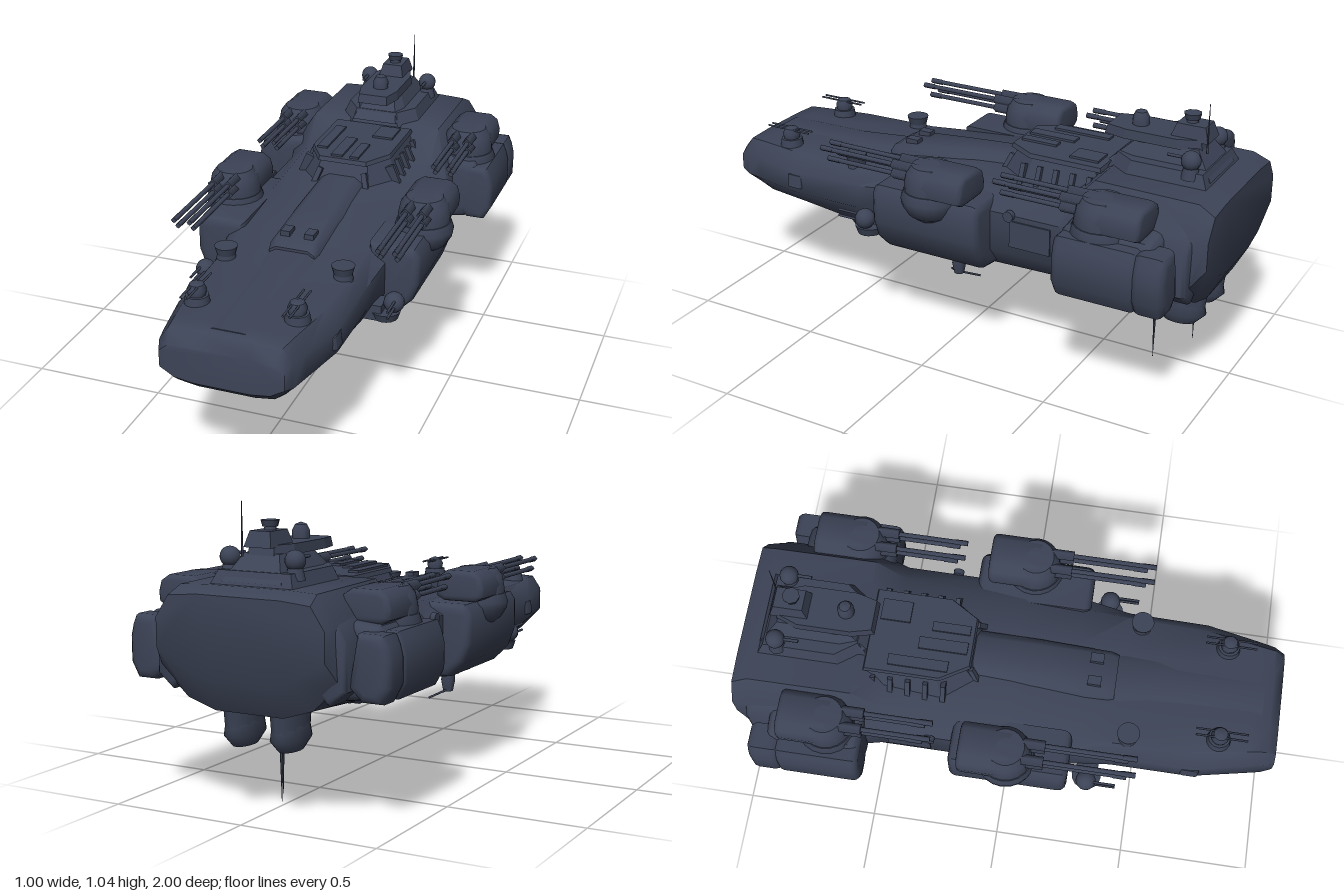
import * as THREE from 'three';
import { toCreasedNormals } from 'three/addons/utils/BufferGeometryUtils.js';

const hullGrey = new THREE.MeshStandardMaterial({ color: 0x3c4356 });
hullGrey.name = 'slate hull';

// Mirrored half profiles (top to bottom), ordered from bow to stern
function loft(sections) {
  const pos = [], idx = [], n = sections[0].pts.length * 2;
  for (const { z, pts } of sections) {
    for (const [x, y] of pts) pos.push(x, y, z);
    for (const [x, y] of [...pts].reverse()) pos.push(-x, y, z);
  }
  const last = (sections.length - 1) * n;
  for (let s = 0; s < last; s += n) {
    for (let j = 0; j < n; j++) {
      const a = s + j, b = s + (j + 1) % n;
      idx.push(a, b, a + n, b, b + n, a + n);
    }
  }
  for (let j = 1; j < n - 1; j++) {
    idx.push(0, j + 1, j);
    idx.push(last, last + j, last + j + 1);
  }
  const g = new THREE.BufferGeometry();
  g.setAttribute('position', new THREE.Float32BufferAttribute(pos, 3));
  g.setIndex(idx);
  return toCreasedNormals(g, 0.85);
}

// Bevelled bar running along z
function prism(pts, z0, z1, b) {
  const g = new THREE.ExtrudeGeometry(new THREE.Shape(pts.map(p => new THREE.Vector2(...p))), {
    depth: z1 - z0 - 2 * b, bevelSize: b, bevelThickness: b, bevelOffset: -b, bevelSegments: 3,
  });
  return toCreasedNormals(g.translate(0, 0, z0 + b), 0.85);
}

// Upright block from a plan outline of [x, z], narrowed towards the top
function tower(pts, y0, y1, taper, cz) {
  const g = new THREE.ExtrudeGeometry(new THREE.Shape(pts.map(([x, z]) => new THREE.Vector2(x, cz - z))),
    { depth: y1 - y0, bevelEnabled: false });
  g.rotateX(-Math.PI / 2);
  const p = g.attributes.position;
  for (let i = 0; i < p.count; i++) {
    const k = 1 + (taper - 1) * p.getY(i) / (y1 - y0);
    p.setX(i, p.getX(i) * k);
    p.setZ(i, p.getZ(i) * k);
  }
  g.translate(0, y0, cz);
  g.computeVertexNormals();
  return g;
}

const box = (w, h, d) => new THREE.BoxGeometry(w, h, d);
const cyl = (top, bottom, h, n = 16) => new THREE.CylinderGeometry(top, bottom, h, n);
const rod = (r, len, n = 8) => cyl(r, r, len, n).rotateX(Math.PI / 2);
const lathe = pts => toCreasedNormals(new THREE.LatheGeometry(pts.map(p => new THREE.Vector2(...p)), 20), 0.7);

export function createModel() {
  const ship = new THREE.Group();
  ship.name = 'warship';
  function add(name, geo, x = 0, y = 0, z = 0, parent = ship) {
    const m = new THREE.Mesh(geo, hullGrey);
    m.name = name;
    m.position.set(x, y, z);
    parent.add(m);
    return m;
  }

  // Main hull
  add('hull', loft([
    { z: 1, pts: [[.1, .56], [.19, .555], [.22, .53], [.22, .47], [.17, .44], [.1, .43]] },
    { z: .96, pts: [[.1, .605], [.2, .6], [.235, .55], [.235, .46], [.17, .405], [.1, .395]] },
    { z: .89, pts: [[.1, .608], [.21, .602], [.25, .55], [.25, .46], [.18, .385], [.1, .365]] },
    { z: .7, pts: [[.1, .61], [.24, .602], [.29, .54], [.29, .46], [.21, .385], [.1, .36]] },
    { z: .4, pts: [[.1, .61], [.25, .602], [.29, .55], [.29, .46], [.24, .37], [.12, .355]] },
    { z: .22, pts: [[.1, .635], [.25, .62], [.31, .58], [.31, .45], [.25, .36], [.13, .33]] },
    { z: 0, pts: [[.1, .665], [.25, .64], [.33, .6], [.33, .45], [.26, .36], [.14, .32]] },
    { z: -.46, pts: [[.13, .7], [.26, .66], [.33, .6], [.33, .45], [.26, .37], [.15, .33]] },
    { z: -.56, pts: [[.16, .77], [.26, .77], [.35, .63], [.36, .47], [.28, .38], [.17, .34]] },
    { z: -.94, pts: [[.16, .77], [.26, .765], [.33, .67], [.34, .48], [.24, .39], [.13, .355]] },
    { z: -1, pts: [[.16, .745], [.27, .735], [.32, .66], [.32, .56], [.2, .49], [.1, .465]] },
  ]));

  // Raised spine over the foredeck
  add('spine', loft([
    { z: .38, pts: [[.06, .64], [.085, .625], [.09, .58]] },
    { z: .35, pts: [[.07, .655], [.09, .64], [.1, .58]] },
    { z: .1, pts: [[.06, .68], [.09, .66], [.12, .6]] },
    { z: -.2, pts: [[.05, .705], [.08, .69], [.13, .62]] },
  ]));
  add('bowRidge', loft([
    { z: .93, pts: [[.05, .609], [.09, .6]] },
    { z: .6, pts: [[.04, .617], [.1, .6]] },
    { z: .37, pts: [[.06, .63], [.11, .6]] },
  ]));

  // Midships superstructure with roof slabs
  const plan = [[-.2, -.56], [.2, -.56], [.2, -.24], [.12, -.12], [-.12, -.12], [-.2, -.24]];
  add('superstructure', tower(plan, .64, .755, .76, -.36));
  add('superstructureRoof', tower(plan.map(([x, z]) => [x * .8, -.36 + (z + .36) * .88]), .752, .768, .97, -.36));
  for (const [x, z, w, d] of [[-.11, -.34, .04, .22], [-.03, -.26, .045, .18], [.04, -.24, .035, .14], [.08, -.45, .08, .11]])
    add('roofSlab', box(w, .016, d), x, .768, z);
  for (let i = 0; i < 5; i++)
    for (const s of [-1, 1])
      add('sideRib', box(.045, .08, .018), s * .172, .69, -.24 - i * .065).rotation.z = s * .4;
  for (const s of [-1, 1])
    add('frontBrace', box(.02, .09, .03), s * .1, .68, -.14).rotation.set(-.4, 0, s * .3);

  // Command tower
  add('towerBase', tower([[-.165, -.93], [.165, -.93], [.165, -.62], [.1, -.53], [-.1, -.53], [-.165, -.62]], .75, .815, .84, -.74));
  add('towerNeck', tower([[-.115, -.92], [.115, -.92], [.115, -.6], [.09, -.53], [-.09, -.53], [-.115, -.6]], .78, .87, .58, -.76));
  add('bridge', tower([[-.05, -.86], [.05, -.86], [.08, -.78], [.08, -.58], [.06, -.5], [-.06, -.5], [-.08, -.58], [-.08, -.78]], .864, .898, .95, -.68));
  add('bridgeRoof', tower([[-.052, -.88], [.052, -.88], [.052, -.74], [-.052, -.74]], .89, .943, .75, -.81));
  add('bridgeDome', lathe([[.03, 0], [.03, .03], [.02, .05], [0, .058]]), 0, .895, -.61);
  add('sensorStem', cyl(.018, .025, .03, 8), 0, .945, -.8);
  add('sensorHead', cyl(.032, .026, .022, 8), 0, .964, -.8);
  add('mast', cyl(.001, .004, .18, 6), .057, .95, -.88);

  // Lower antennas
  add('longAntenna', cyl(.011, .001, .36, 6), .025, .18, -.71);
  add('shortAntenna', cyl(.005, .001, .2, 6), -.058, .17, -.83);

  // Keel blocks and ribs
  add('foreKeel', loft([
    { z: .56, pts: [[.15, .37], [.15, .355]] }, { z: .51, pts: [[.21, .38], [.16, .312]] },
    { z: .14, pts: [[.24, .38], [.18, .308]] }, { z: .06, pts: [[.22, .37], [.17, .34]] },
  ]));
  add('aftKeel', loft([
    { z: -.06, pts: [[.16, .36], [.14, .325]] }, { z: -.1, pts: [[.2, .37], [.16, .312]] },
    { z: -.48, pts: [[.2, .37], [.15, .315]] }, { z: -.52, pts: [[.17, .37], [.14, .34]] },
  ]));
  for (let i = 0; i < 4; i++) add('keelRib', box(.3, .016, .03), 0, .307, .46 - i * .09);
  for (const x of [-.09, 0, .09]) add('keelRail', box(.025, .01, .34), x, .312, -.29);

  // Four-barrel turret: wide bowl below, narrower armoured cap above
  function turret(name, x, y, z, reach) {
    const t = new THREE.Group();
    t.name = name;
    t.position.set(x, y, z);
    ship.add(t);
    add('turretBowl', lathe([[0, -.1], [.05, -.095], [.085, -.07], [.106, -.035], [.11, -.01], [.1, .02], [0, .03]]), 0, 0, 0, t);
    add('turretCap', lathe([[.096, 0], [.097, .04], [.088, .085], [.068, .112], [0, .118]]), 0, 0, 0, t);
    const rear = [[.06, .005], [.088, .02], [.092, .055], [.08, .095], [.05, .115]];
    add('turretRear', prism([...rear, ...rear.map(([px, py]) => [-px, py]).reverse()], -.17, .03, .018), 0, 0, 0, t);
    for (const dx of [-.03, .03]) {
      for (const [dy, len] of [[.06, reach - .03], [.095, reach]]) {
        add('barrel', rod(.009, len), dx, dy, len / 2, t);
        add('barrelSleeve', rod(.02, .13, 4), dx, dy, .075, t);
        add('muzzle', rod(.011, .05, 4), dx, dy, len - .025, t);
      }
    }
  }
  turret('leftForeTurret', .38, .64, .02, .45);
  turret('rightForeTurret', -.37, .64, .02, .47);
  turret('leftAftTurret', .365, .655, -.64, .4);
  turret('rightAftTurret', -.352, .655, -.64, .39);

  for (const s of [-1, 1]) {
    const mir = pts => pts.map(([x, y]) => [s * x, y]);

    // Gun sponsons
    add('foreSponson', prism(mir([[.24, .64], [.41, .64], [.43, .61], [.43, .5], [.405, .43], [.35, .375], [.24, .36]]), -.19, .25, .03));
    add('aftSponson', prism(mir([[.25, .68], [.42, .66], [.46, .6], [.45, .47], [.39, .42], [.25, .4]]), -.86, -.51, .04));

    // Side engine pods
    const pod = [[.38, .645], [.475, .645], [.49, .61], [.5, .57], [.5, .48], [.47, .425], [.4, .425], [.35, .47]];
    add('sidePod', prism(mir(pod), -.82, -.51, .025));
    add('rearPod', prism(mir(pod), -.92, -.8, .03));
    add('sternShoulder', prism(mir([[.2, .76], [.26, .76], [.33, .67], [.36, .62], [.36, .46], [.3, .41], [.2, .5]]), -.95, -.78, .02));

    // Hull side panels
    add('sidePanel', box(.02, .1, .16), s * .326, .53, -.35);
    add('sideHatch', cyl(.02, .02, .02, 12).rotateZ(Math.PI / 2), s * .337, .6, -.27);
    add('bowCheek', prism(mir([[.24, .54], [.292, .53], [.297, .48], [.24, .45]]), .66, .73, .012));
    add('deckHatch', box(.035, .025, .05), s * .045, .665, .3);

    // Light bow guns
    add('bowGunBase', cyl(.04, .046, .035), s * .18, .615, .78);
    add('bowGunDome', lathe([[.03, 0], [.034, .02], [.025, .04], [0, .05]]), s * .18, .632, .78);
    for (const dx of [-.012, .012]) add('bowGunBarrel', rod(.004, .19, 6), s * .18 + dx, .668, .785);

    // Foredeck cupolas
    add('cupola', cyl(.042, .034, .03), s * .22, .635, .45);
    add('cupolaFoot', cyl(.032, .036, .03), s * .22, .61, .45);

    // Flank ball guns
    add('flankLedge', cyl(.055, .045, .03), s * .335, .415, .32);
    add('flankBall', new THREE.SphereGeometry(.038, 14, 10), s * .365, .465, .32);
    for (const dy of [-.012, .012]) add('flankBarrel', rod(.005, .1, 6), s * .375, .47 + dy, .38);
    add('flankStrut', box(.08, .06, .08), s * .29, .43, .32);

    // Hanging guns
    add('hangingMount', cyl(.026, .018, .06, 8), s * .275, .355, -.03);
    add('hangingGun', lathe([[0, -.045], [.018, -.04], [.026, 0], [.024, .03], [0, .035]]), s * .275, .33, -.03);
    for (const dz of [-.04, .04]) {
      const prong = add('prong', cyl(.004, .004, .07, 6), s * .25, .282, -.03 + dz);
      prong.rotation.set(dz > 0 ? -1 : 1, 0, -s * .8);
    }

    // Tower ball mounts
    add('ballStem', cyl(.02, .035, .06, 10), s * .125, .82, -.85);
    add('ballMount', new THREE.SphereGeometry(.035, 14, 10), s * .125, .853, -.85);
    add('ballBarrel', rod(.006, .07, 6), s * .125, .86, -.8);

    // Stern keel pods
    const keelPod = add('sternKeelPod', lathe([[0, -.04], [.034, -.04], [.056, 0], [.05, .05]]), s * .09, .265, -.83);
    keelPod.scale.z = 1.75;
    add('sternKeelRoot', cyl(.055, .05, .09, 12), s * .09, .33, -.83).scale.z = 1.85;

    // Underside vents
    for (const z of [.35, .25]) add('vent', cyl(.035, .045, .05, 10), s * .14, .32, z);
  }

  return ship;
}
